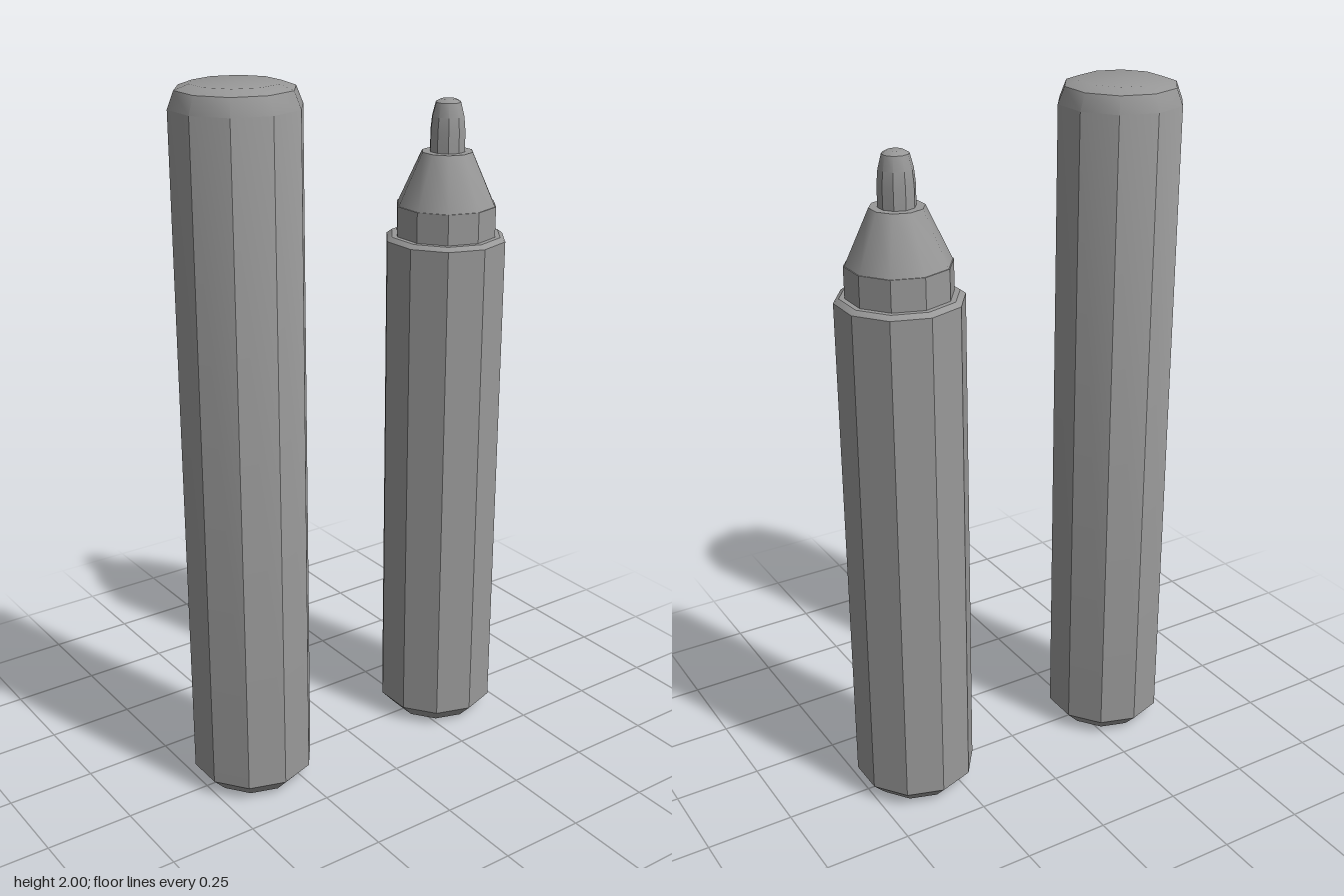
import * as THREE from 'three';
import { toCreasedNormals } from 'three/addons/utils/BufferGeometryUtils.js';

const SIDES = 10;
// just below the 36 degree turn between barrel facets, so they stay sharp while cones and domes stay smooth
const CREASE = THREE.MathUtils.degToRad(35);
const material = new THREE.MeshStandardMaterial({ color: 0x989898 });

// ten-sided turned part from [radius, height] pairs, listed bottom to top
function turned(name, profile) {
  const points = profile.map(([r, y]) => new THREE.Vector2(r, y));
  const lathe = new THREE.LatheGeometry(points, SIDES, Math.PI / 2);
  const mesh = new THREE.Mesh(toCreasedNormals(lathe, CREASE), material);
  mesh.name = name;
  return mesh;
}

// chamfered bottom end shared by both pens
const foot = [[0, 0], [0.13, 0], [0.174, 0.046]];

export function createModel() {
  const model = new THREE.Group();
  model.name = 'markerPens';

  // capped pen, in front
  const capped = new THREE.Group();
  capped.name = 'cappedPen';
  capped.position.z = 0.34;
  capped.add(turned('cappedBody', [
    ...foot, [0.174, 1.94], [0.156, 1.986], [0.117, 2], [0, 2],
  ]));

  // open pen, behind
  const open = new THREE.Group();
  open.name = 'openPen';
  open.position.z = -0.34;
  open.add(
    turned('barrel', [...foot, [0.174, 1.508], [0.159, 1.519], [0, 1.519]]),
    turned('collar', [[0.144, 1.51], [0.144, 1.605], [0, 1.605]]),
    turned('cone', [[0.141, 1.605], [0.073, 1.753], [0, 1.753]]),
    turned('nib', [
      [0.05, 1.75], [0.05, 1.81], [0.046, 1.85], [0.036, 1.888], [0.022, 1.896], [0, 1.896],
    ]),
  );

  model.add(capped, open);
  return model;
}
